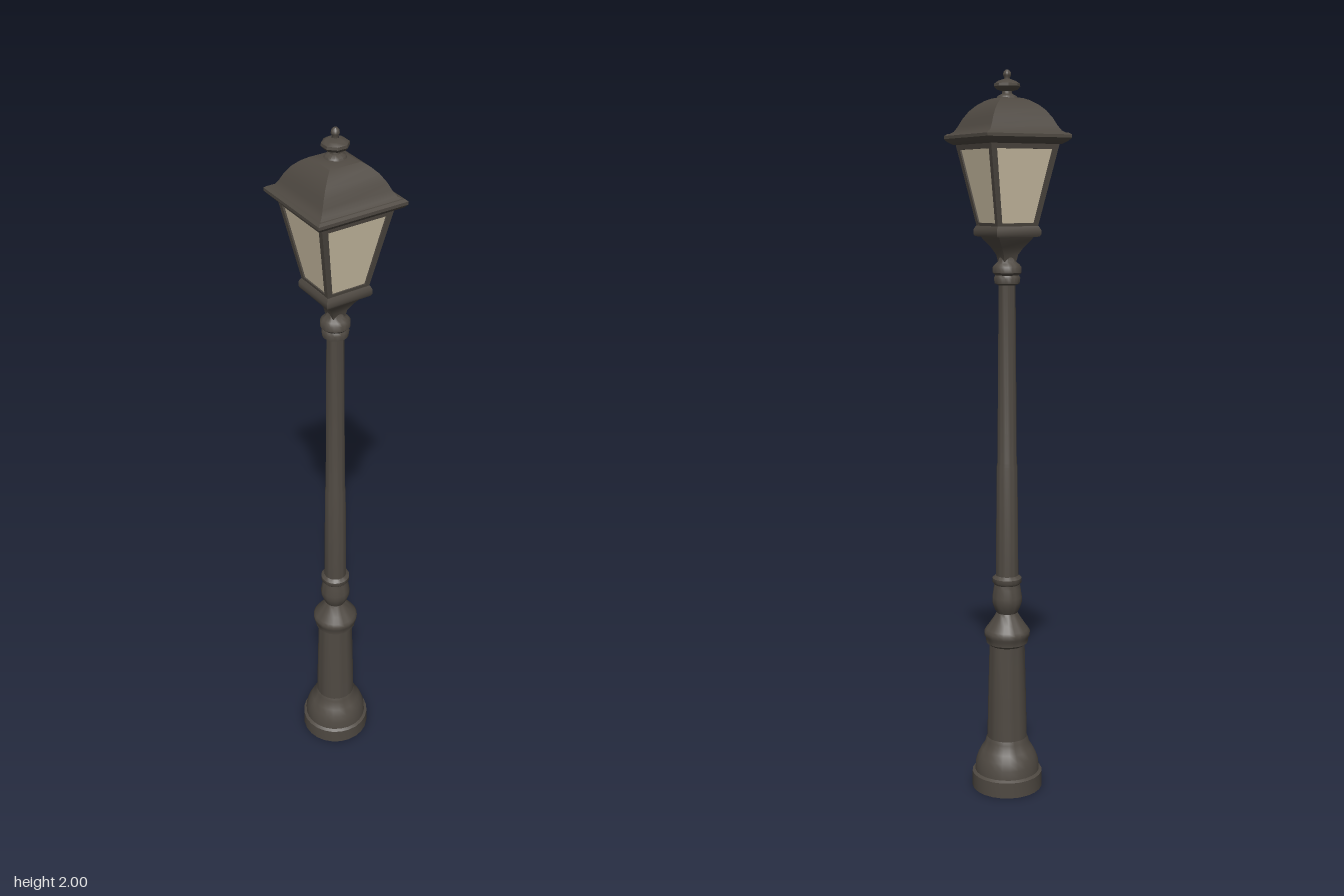
import * as THREE from 'three';
import { toCreasedNormals } from 'three/addons/utils/BufferGeometryUtils.js';

export function createModel() {
  const metal = new THREE.MeshStandardMaterial({ color: 0x4f4942 });
  metal.name = 'dark bronze metal';
  const glass = new THREE.MeshStandardMaterial({ color: 0xd0c3a8 });
  glass.name = 'warm frosted glass';

  const model = new THREE.Group();
  model.name = 'streetLamp';

  function add(name, geometry, material = metal, parent = model) {
    const mesh = new THREE.Mesh(geometry, material);
    mesh.name = name;
    parent.add(mesh);
    return mesh;
  }

  // Round turned part from [radius, y] pairs, bottom to top
  function turned(name, profile, sides = 24) {
    const points = profile.map(([r, y]) => new THREE.Vector2(r, y));
    const geometry = new THREE.LatheGeometry(points, sides);
    geometry.rotateY(Math.PI / sides);
    return add(name, toCreasedNormals(geometry, 0.75));
  }

  // Square part from [halfWidth, y, centreX, centreZ] levels, bottom to top
  function squareLoft(levels, crease = 0.6) {
    const positions = [];
    const corner = ([w, y, cx = 0, cz = 0], k) => {
      const sx = [-1, 1, 1, -1][k % 4], sz = [1, 1, -1, -1][k % 4];
      return [cx + sx * w, y, cz + sz * w];
    };
    for (let i = 0; i < levels.length - 1; i++) {
      for (let k = 0; k < 4; k++) {
        const a = corner(levels[i], k), b = corner(levels[i], k + 1);
        const c = corner(levels[i + 1], k + 1), d = corner(levels[i + 1], k);
        if (levels[i][0] > 0) positions.push(...a, ...b, ...c);
        if (levels[i + 1][0] > 0) positions.push(...a, ...c, ...d);
        else if (levels[i][0] === 0) continue;
      }
    }
    const geometry = new THREE.BufferGeometry();
    geometry.setAttribute('position', new THREE.Float32BufferAttribute(positions, 3));
    return toCreasedNormals(geometry, crease);
  }

  // Pedestal with stepped foot
  turned('foot', [
    [0, 0], [0.1, 0], [0.1, 0.045], [0.092, 0.05], [0.09, 0.075], [0.083, 0.095],
    [0.073, 0.115], [0.064, 0.128], [0.061, 0.14], [0.057, 0.15]
  ]);
  turned('pedestal', [[0.057, 0.145], [0.054, 0.28], [0.05, 0.43]]);
  turned('pedestalCollar', [
    [0.05, 0.425], [0.059, 0.432], [0.06, 0.445], [0.064, 0.452], [0.065, 0.464],
    [0.06, 0.472], [0.047, 0.49], [0.034, 0.51], [0.029, 0.52]
  ]);

  // Vase shaped transition and shaft
  turned('vase', [
    [0.029, 0.518], [0.036, 0.532], [0.042, 0.55], [0.042, 0.565], [0.038, 0.59],
    [0.036, 0.602], [0.041, 0.608], [0.041, 0.62], [0.032, 0.628]
  ]);
  turned('shaft', [[0.032, 0.62], [0.029, 0.94], [0.027, 0.95], [0.023, 1.45]]);
  turned('shaftCollar', [
    [0.023, 1.438], [0.034, 1.443], [0.036, 1.458], [0.032, 1.465], [0.039, 1.472],
    [0.039, 1.487], [0.033, 1.494], [0.024, 1.502], [0.02, 1.515]
  ]);

  // Lantern cup and sill
  const lantern = new THREE.Group();
  lantern.name = 'lantern';
  model.add(lantern);
  add('cup', squareLoft([
    [0.018, 1.5], [0.022, 1.52], [0.033, 1.54], [0.047, 1.558], [0.055, 1.572]
  ]), metal, lantern);
  add('sill', squareLoft([
    [0, 1.568], [0.064, 1.568], [0.067, 1.574], [0.067, 1.586], [0.062, 1.596], [0, 1.596]
  ]), metal, lantern);

  // Tapered glass body
  add('glassPanes', squareLoft([[0.056, 1.594], [0.096, 1.808]]), glass, lantern);

  // Corner bars
  for (const sx of [-1, 1]) {
    for (const sz of [-1, 1]) {
      add('cornerBar', squareLoft([
        [0.007, 1.592, sx * 0.053, sz * 0.053],
        [0.008, 1.812, sx * 0.094, sz * 0.094]
      ]), metal, lantern);
    }
  }

  // Rails along the bottom and top of the panes
  add('lowerRail', squareLoft([
    [0, 1.594], [0.06, 1.594], [0.062, 1.604], [0, 1.604]
  ]), metal, lantern);
  add('upperRail', squareLoft([
    [0, 1.795], [0.099, 1.795], [0.102, 1.812], [0, 1.812]
  ]), metal, lantern);

  // Eaves and bell shaped roof
  add('eaves', squareLoft([
    [0, 1.808], [0.106, 1.808], [0.118, 1.816], [0.125, 1.824], [0.125, 1.832],
    [0.118, 1.837], [0, 1.837]
  ]), metal, lantern);
  add('roof', squareLoft([
    [0.118, 1.834], [0.105, 1.843], [0.097, 1.856], [0.088, 1.875], [0.075, 1.895],
    [0.06, 1.91], [0.044, 1.921], [0.03, 1.927], [0, 1.93]
  ]), metal, lantern);

  // Finial
  turned('finialNeck', [[0.03, 1.922], [0.026, 1.932], [0.014, 1.938], [0.012, 1.95]], 16);
  turned('finialKnob', [
    [0.012, 1.944], [0.028, 1.949], [0.035, 1.957], [0.034, 1.964], [0.024, 1.971], [0.009, 1.976]
  ], 8);
  turned('finialTip', [
    [0.008, 1.973], [0.008, 1.98], [0.011, 1.986], [0.01, 1.993], [0.005, 1.999], [0, 2]
  ], 12);

  return model;
}
